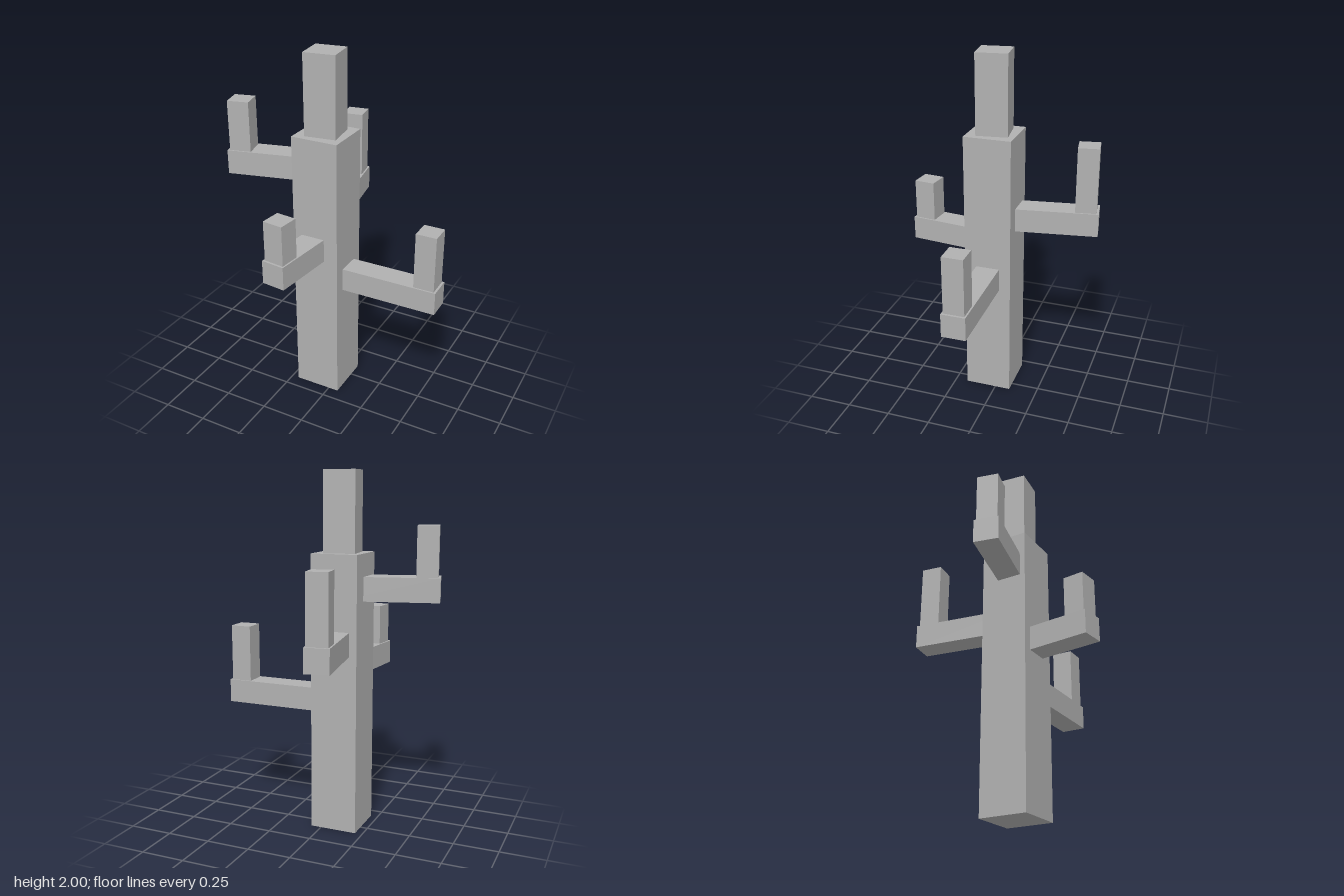
import * as THREE from 'three';

export function createModel() {
  const model = new THREE.Group();
  model.name = 'cactus';
  const grey = new THREE.MeshStandardMaterial({ color: 0xb0b0b0 });
  grey.name = 'plain grey';

  // Box standing on height y0, reaching y1
  function block(parent, name, width, depth, y0, y1, x = 0) {
    const mesh = new THREE.Mesh(new THREE.BoxGeometry(width, y1 - y0, depth), grey);
    mesh.position.set(x, (y0 + y1) / 2, 0);
    mesh.name = name;
    parent.add(mesh);
    return mesh;
  }

  // Everything is arranged around the trunk axis
  const plant = new THREE.Group();
  plant.name = 'plant';
  plant.position.set(-0.075, 0, 0.045);
  model.add(plant);

  block(plant, 'trunk', 0.267, 0.267, 0, 1.56);
  block(plant, 'trunkTip', 0.175, 0.175, 1.56, 2).rotation.y = 0.133;

  // Arms: turn about the trunk, reach, underside height, height of upright tip
  const arms = [
    ['leftArm', 0.0095, 0.681, 0.668, 1.122],
    ['backArm', 1.733, 0.581, 1.01, 1.512],
    ['rightArm', -2.9, 0.532, 1.302, 1.71],
    ['frontArm', -1.679, 0.486, 0.864, 1.222],
  ];
  for (const [name, turn, reach, bottom, top] of arms) {
    const arm = new THREE.Group();
    arm.name = name;
    arm.rotation.y = turn;
    plant.add(arm);
    const shelf = bottom + 0.133;
    block(arm, 'branch', reach, 0.135, bottom, shelf, reach / 2);
    block(arm, 'upright', 0.117, 0.117, shelf, top, reach - 0.071);
  }
  return model;
}
